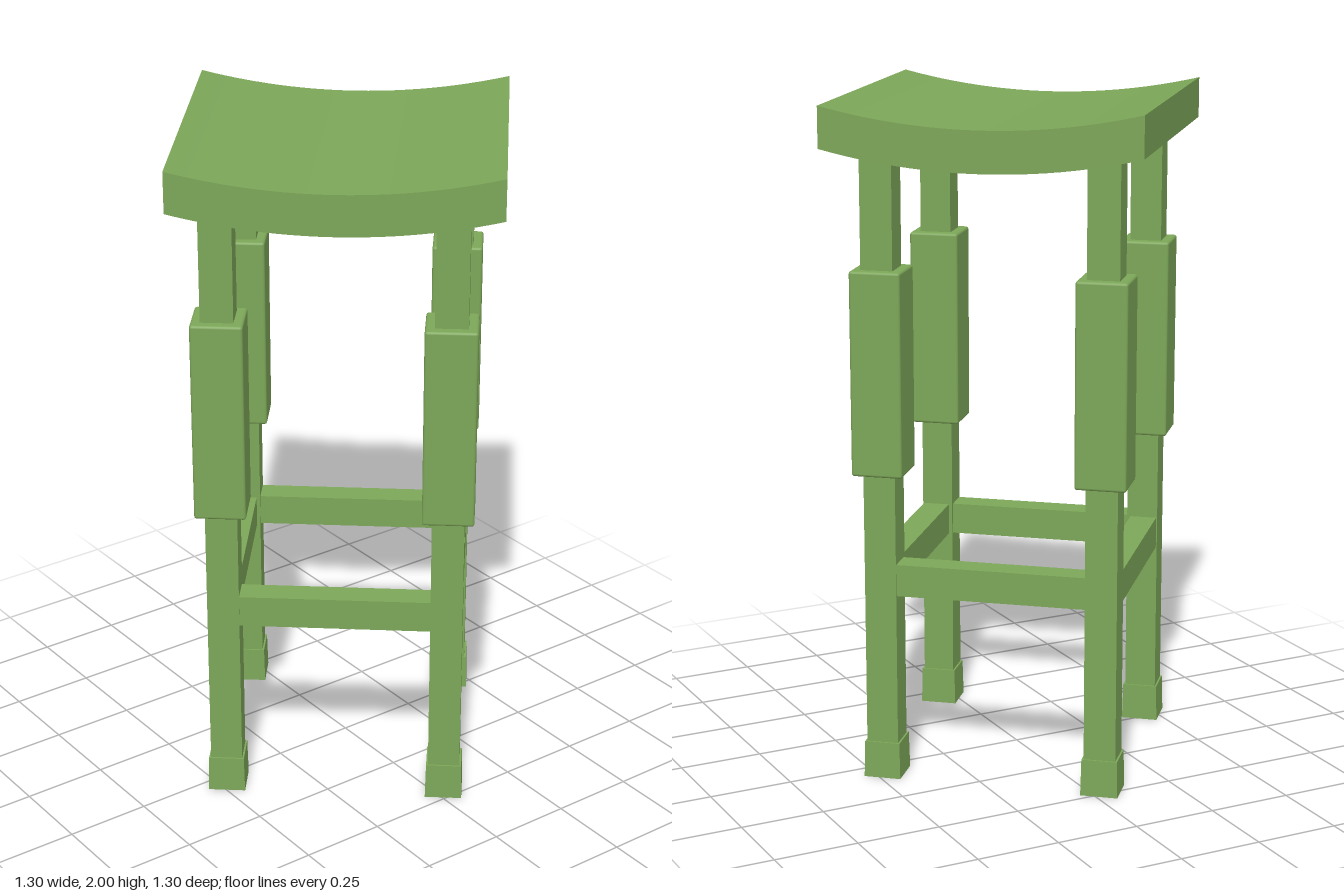
import * as THREE from 'three';
import { RoundedBoxGeometry } from 'three/addons/geometries/RoundedBoxGeometry.js';

const LEG = 0.327;      // leg centre offset on both axes
const LEG_W = 0.094;
const SEAT = 0.92;      // side of the square seat
const SAG = 0.055;      // depth of the seat's dip

export function createModel() {
  const model = new THREE.Group();
  model.name = 'stool';
  const material = new THREE.MeshStandardMaterial({ color: 0x7ca658 });

  const add = (parent, name, geometry, x, y, z) => {
    const mesh = new THREE.Mesh(geometry, material);
    mesh.name = name;
    mesh.position.set(x, y, z);
    parent.add(mesh);
    return mesh;
  };

  // The whole stool stands turned about the vertical axis
  const stool = new THREE.Group();
  stool.name = 'turnedStool';
  stool.rotation.y = THREE.MathUtils.degToRad(-40);
  model.add(stool);

  // Saddle seat: a slab whose vertices follow a circular dip along x
  const seat = new THREE.BoxGeometry(SEAT, 0.12, SEAT, 24, 1, 1);
  const half = SEAT / 2;
  const R = (half * half + SAG * SAG) / (2 * SAG);
  const p = seat.attributes.position;
  for (let i = 0; i < p.count; i++) {
    const x = p.getX(i);
    p.setY(i, p.getY(i) + R - Math.sqrt(R * R - x * x) - SAG);
  }
  // Smooth normals within each face, sharp edges between faces
  seat.computeVertexNormals();
  add(stool, 'seat', seat, 0, 1.94, 0);

  // Leg frame
  const frame = new THREE.Group();
  frame.name = 'legFrame';
  frame.position.set(-0.008, 0, -0.006);
  stool.add(frame);

  const legGeo = new THREE.BoxGeometry(LEG_W, 1.86, LEG_W);
  const sleeveGeo = new RoundedBoxGeometry(0.15, 0.6, 0.15, 2, 0.008);
  const footGeo = new THREE.CylinderGeometry(0.105 / Math.SQRT2, 0.11 / Math.SQRT2, 0.11, 4, 1)
    .rotateY(Math.PI / 4).toNonIndexed();
  footGeo.computeVertexNormals();

  // Four legs, each with a thick sleeve and a foot cap
  for (const sx of [-1, 1]) {
    for (const sz of [-1, 1]) {
      const x = sx * LEG, z = sz * LEG;
      add(frame, 'leg', legGeo, x, 0.932, z);
      add(frame, 'legSleeve', sleeveGeo, x, 1.228, z);
      add(frame, 'foot', footGeo, x, 0.055, z);
    }
  }

  // Four stretchers, almost flush with the outer leg faces
  const thick = 0.08;
  const out = LEG + LEG_W / 2 - thick / 2 - 0.003;
  const barGeo = new THREE.BoxGeometry(LEG * 2 - LEG_W + 0.01, 0.095, thick);
  for (let i = 0; i < 4; i++) {
    const a = i * Math.PI / 2;
    const bar = add(frame, 'stretcher', barGeo, Math.sin(a) * out, 0.613, Math.cos(a) * out);
    bar.rotation.y = a;
  }

  return model;
}
